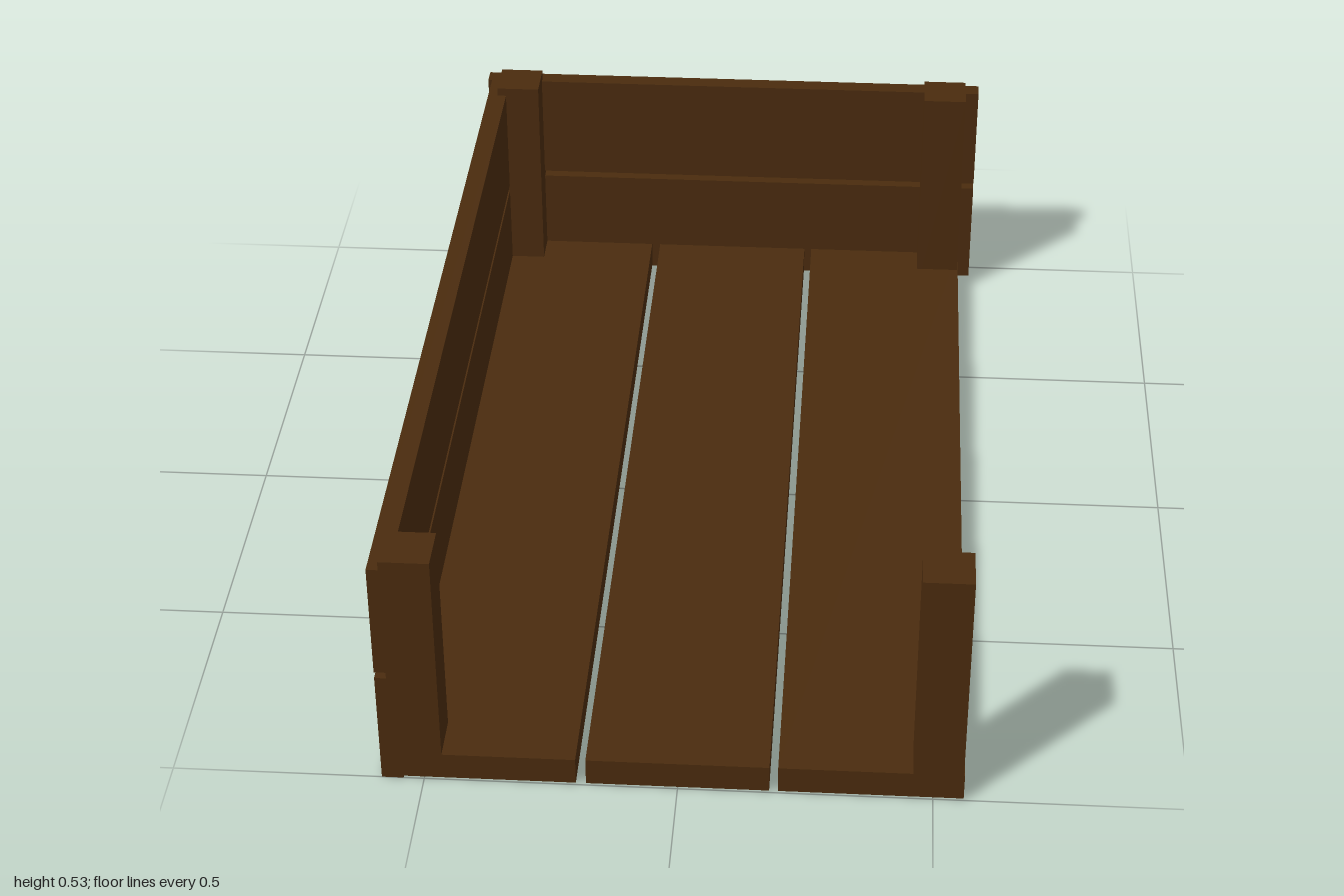
import * as THREE from 'three';

export function createModel() {
  const group = new THREE.Group();
  const wood = new THREE.MeshStandardMaterial({ color: 0x4a2b0e });
  wood.name = 'darkWood';

  // Box given by its lower and upper limits on each axis
  const plank = (name, [x0, x1], [y0, y1], [z0, z1]) => {
    const mesh = new THREE.Mesh(new THREE.BoxGeometry(x1 - x0, y1 - y0, z1 - z0), wood);
    mesh.position.set((x0 + x1) / 2, (y0 + y1) / 2, (z0 + z1) / 2);
    mesh.name = name;
    group.add(mesh);
  };

  // Three floor boards with narrow gaps
  for (const x of [[-0.56, -0.2], [-0.18, 0.18], [0.197, 0.56]]) {
    plank('floorBoard', x, [0.005, 0.063], [-0.965, 1]);
  }

  // Two stacked boards each for the side wall and the back wall
  for (const y of [[0, 0.25], [0.264, 0.511]]) {
    plank('sideBoard', [-0.584, -0.541], y, [-0.96, 1]);
    plank('backBoard', [-0.593, 0.59], y, [-1, -0.96]);
  }

  // Four corner posts
  for (const x of [[-0.561, -0.463], [0.46, 0.558]]) {
    for (const z of [[0.902, 1], [-0.98, -0.882]]) {
      plank('cornerPost', x, [0.005, 0.53], z);
    }
  }
  return group;
}
